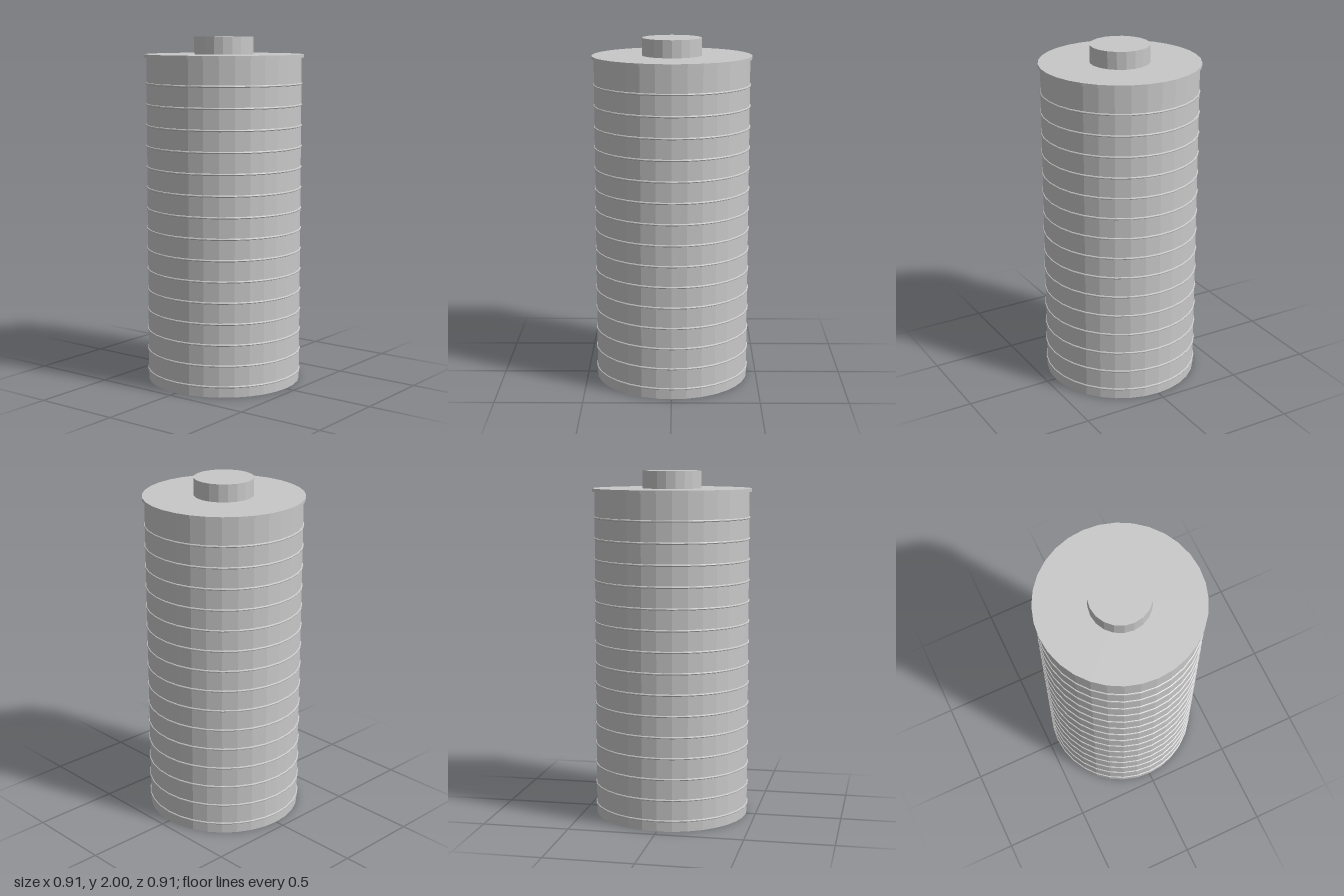
import * as THREE from 'three';

export function createModel() {
  const model = new THREE.Group();
  model.name = 'ribbedCanister';
  const grey = new THREE.MeshStandardMaterial({ color: 0xc8c8c8, flatShading: true });
  grey.name = 'lightGrey';

  const add = (name, geometry, y) => {
    const mesh = new THREE.Mesh(geometry, grey);
    mesh.name = name;
    mesh.position.y = y;
    model.add(mesh);
    return mesh;
  };
  // Upright cylinder between two heights
  const disc = (name, radius, y0, y1, sides) =>
    add(name, new THREE.CylinderGeometry(radius, radius, y1 - y0, sides), (y0 + y1) / 2);

  disc('body', 0.445, 0, 1.885, 32);
  disc('lid', 0.457, 1.882, 1.9, 32);
  disc('knob', 0.17, 1.9, 2, 20);

  // Fifteen thin ribs, evenly spaced up the body
  const ribGeometry = new THREE.TorusGeometry(0.445, 0.006, 8, 32).rotateX(Math.PI / 2);
  for (let i = 0; i < 15; i++) add(`rib${i + 1}`, ribGeometry, 0.06 + i * 0.1196);

  return model;
}
